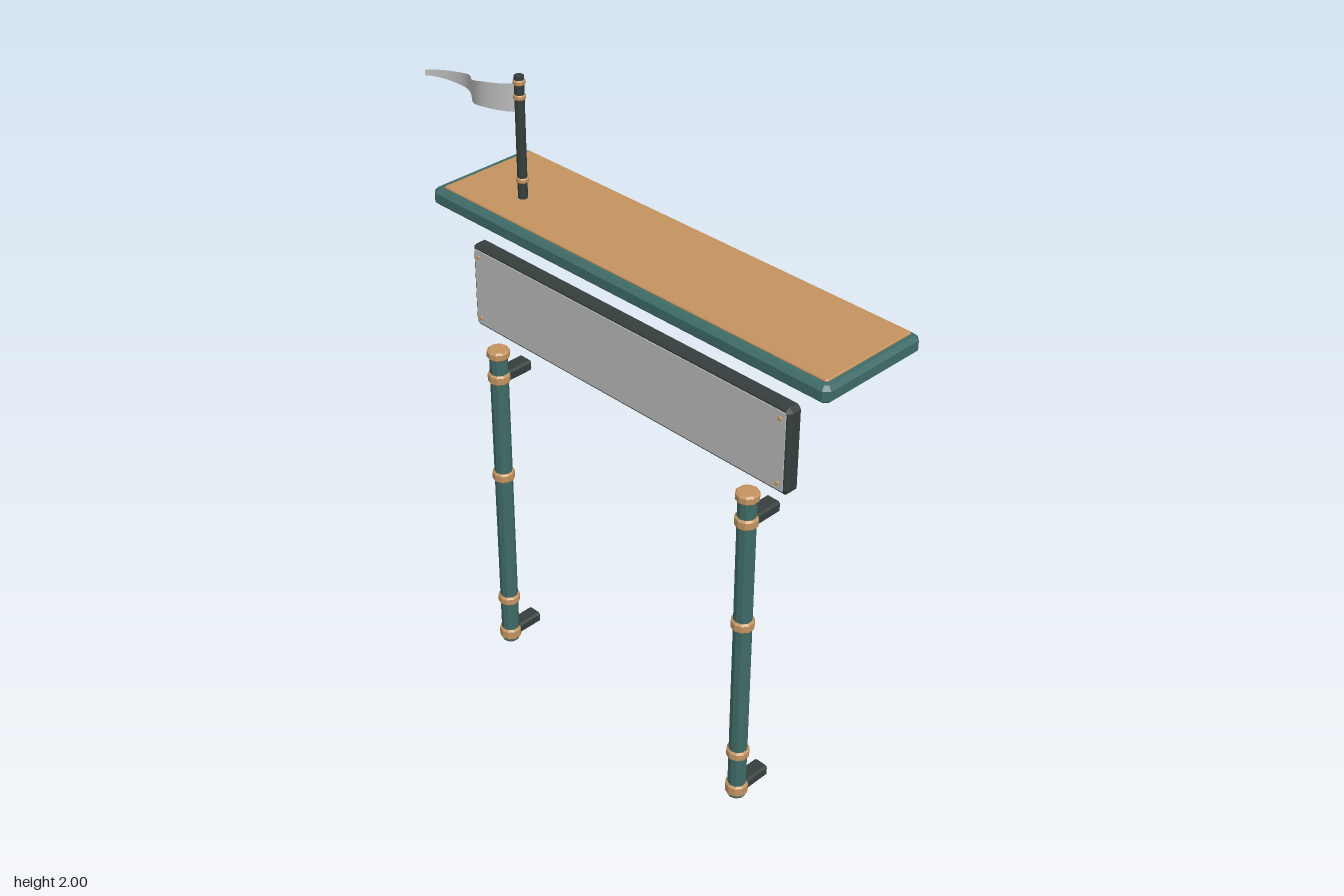
import * as THREE from 'three';

const mat = (name, color, extra = {}) => {
  const m = new THREE.MeshStandardMaterial({ color, ...extra });
  m.name = name;
  return m;
};

export function createModel() {
  const teal = mat('teal paint', 0x3f6b67, { flatShading: true });
  const copper = mat('copper', 0xc4935f, { flatShading: true });
  const iron = mat('dark iron', 0x353f3d, { flatShading: true });
  const grey = mat('pale grey', 0xbcbcbc, { side: THREE.DoubleSide });
  const model = new THREE.Group();
  model.name = 'signStand';

  const add = (name, geometry, material, x, y, z, parent = model) => {
    const mesh = new THREE.Mesh(geometry, material);
    mesh.name = name;
    mesh.position.set(x, y, z);
    parent.add(mesh);
    return mesh;
  };

  // Slab centred on the origin, lying in xy, with clipped corners and chamfered edges
  const slab = (w, h, d, c) => {
    const a = w / 2 - c, b = h / 2 - c, k = c * 0.8;
    const s = new THREE.Shape([
      [-a + k, -b], [a - k, -b], [a, -b + k], [a, b - k],
      [a - k, b], [-a + k, b], [-a, b - k], [-a, -b + k],
    ].map(([x, y]) => new THREE.Vector2(x, y)));
    const g = new THREE.ExtrudeGeometry(s, {
      depth: d - 2 * c, bevelEnabled: true, bevelSize: c, bevelThickness: c, bevelSegments: 1,
    });
    return g.translate(0, 0, -(d - 2 * c) / 2);
  };

  // Chamfered ring around a post
  const band = (r, h, sides) => {
    const c = r * 0.16;
    return new THREE.LatheGeometry([
      [0, -h / 2], [r - c, -h / 2], [r, -h / 2 + c], [r, h / 2 - c], [r - c, h / 2], [0, h / 2],
    ].map(([x, y]) => new THREE.Vector2(x, y)), sides);
  };

  // Roof board with inlaid top
  add('roof', slab(1.57, 0.388, 0.054, 0.012).rotateX(-Math.PI / 2), teal, 0.085, 1.575, -0.011);
  add('roofTop', slab(1.515, 0.345, 0.014, 0.003).rotateX(-Math.PI / 2), copper, 0.0875, 1.601, -0.0165);

  // Sign board with face plate and corner studs
  add('signFrame', slab(1.285, 0.285, 0.05, 0.01), iron, 0.0875, 1.3175, 0.13);
  add('signPlate', new THREE.BoxGeometry(1.255, 0.255, 0.006), grey, 0.0875, 1.3175, 0.155);
  for (const x of [-0.522, 0.697]) {
    for (const y of [1.212, 1.423]) {
      add('stud', new THREE.CylinderGeometry(0.006, 0.007, 0.006, 8).rotateX(Math.PI / 2), copper, x, y, 0.161);
    }
  }

  // Two posts, each with copper bands and wall brackets
  for (const x of [-0.433, 0.605]) {
    const post = new THREE.Group();
    post.name = 'post';
    post.position.set(x, 0, 0.173);
    model.add(post);
    add('shaft', new THREE.CylinderGeometry(0.029, 0.029, 1.13, 10), teal, 0, 0.57, 0, post);
    for (const [y, h] of [[0.034, 0.04], [0.177, 0.032], [0.677, 0.034], [1.046, 0.034], [1.131, 0.03]]) {
      add('band', band(0.036, h, 10), copper, 0, y, 0, post);
    }
    add('foot', new THREE.CylinderGeometry(0.029, 0.024, 0.014, 10), copper, 0, 0.007, 0, post);
    for (const y of [0.038, 1.047]) {
      add('bracket', slab(0.052, 0.038, 0.115, 0.005), iron, 0, y, -0.0555, post);
    }
  }

  // Flagpole
  const pole = new THREE.Group();
  pole.name = 'flagpole';
  pole.position.set(-0.45, 0, 0.036);
  model.add(pole);
  add('poleShaft', new THREE.CylinderGeometry(0.015, 0.015, 0.4, 10), iron, 0, 1.8, 0, pole);
  for (const y of [1.668, 1.934, 1.98]) add('poleBand', band(0.019, 0.016, 10), copper, 0, y, 0, pole);

  // Waving flag: a sheet between an upper and a lower curve
  const curve = (pts) => new THREE.SplineCurve(pts.map(([x, y]) => new THREE.Vector2(x, y)));
  const upper = curve([[0, 1.975], [0.1075, 1.964], [0.215, 1.923], [0.3225, 1.888], [0.43, 1.88]]);
  const lower = curve([[0, 1.886], [0.1075, 1.885], [0.215, 1.857], [0.3225, 1.846], [0.43, 1.862]]);
  const n = 24;
  const flag = new THREE.PlaneGeometry(1, 1, n, 1);
  const p = flag.attributes.position;
  for (let i = 0; i < p.count; i++) {
    const t = p.getX(i) + 0.5;
    const edge = (p.getY(i) > 0 ? lower : upper).getPoint(t);
    p.setXYZ(i, -edge.x, edge.y, 0.054 * Math.sin(t * Math.PI * 2));
  }
  flag.computeVertexNormals();
  add('flag', flag, grey, 0, 0, 0, pole);

  return model;
}
